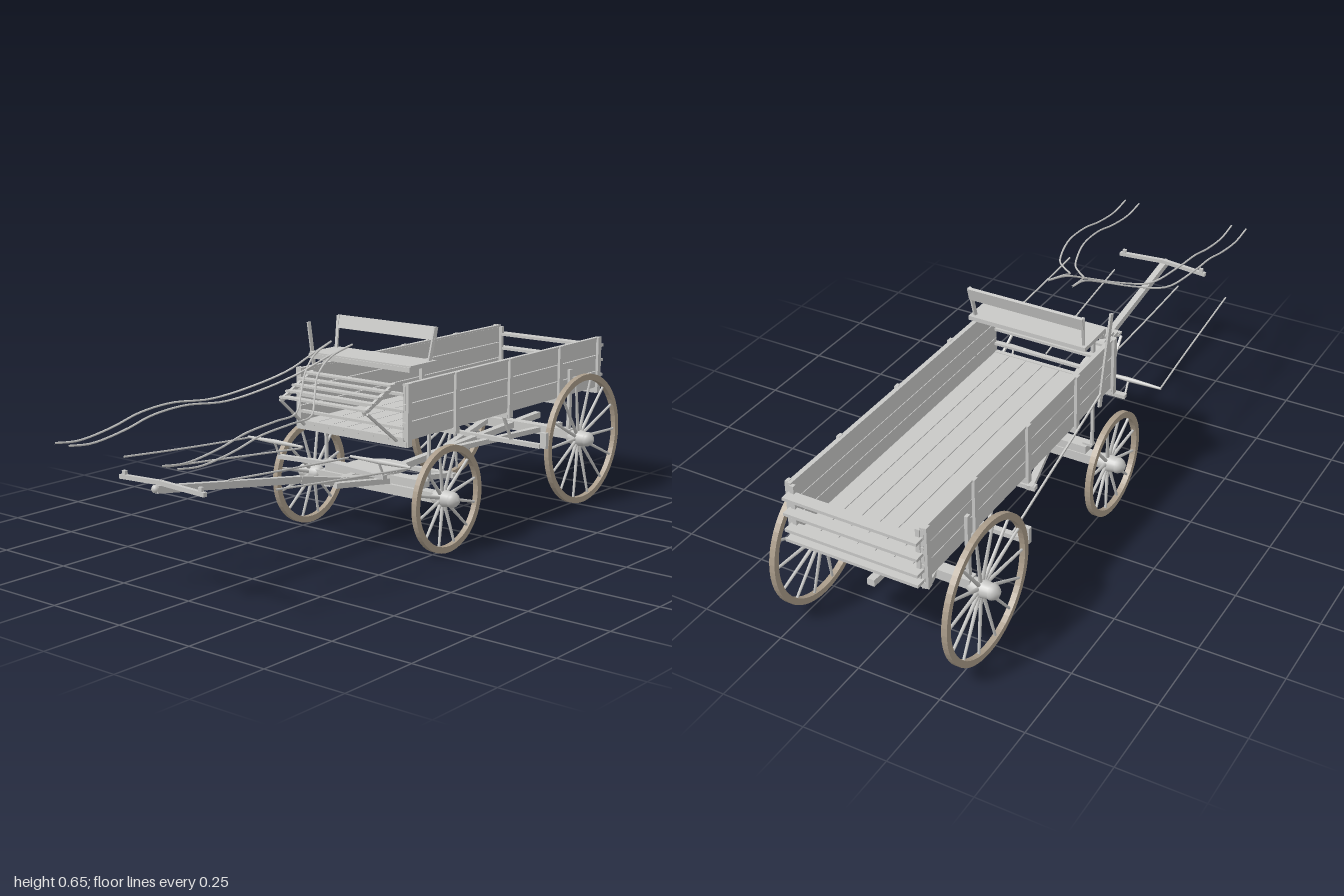
import * as THREE from 'three';

const V = (x, y, z) => new THREE.Vector3(x, y, z);

export function createModel() {
  const root = new THREE.Group();
  root.name = 'farmWagon';
  const wood = new THREE.MeshStandardMaterial({ color: 0xc8c8c6 });
  wood.name = 'pale grey wood';
  const tyre = new THREE.MeshStandardMaterial({ color: 0xaa9c8a });
  tyre.name = 'weathered brown rim';

  const add = (name, geo, mat = wood, parent = root) => {
    const m = new THREE.Mesh(geo, mat);
    m.name = name;
    parent.add(m);
    return m;
  };
  const box = (name, w, h, d, x, y, z) => {
    const m = add(name, new THREE.BoxGeometry(w, h, d));
    m.position.set(x, y, z);
    return m;
  };
  // Straight timber from a to b, w wide and h high
  const beam = (name, a, b, w, h) => {
    const m = add(name, new THREE.BoxGeometry(w, h, a.distanceTo(b)));
    m.position.copy(a).lerp(b, 0.5);
    m.lookAt(b);
    return m;
  };
  const tube = (name, pts, r, n = 40) =>
    add(name, new THREE.TubeGeometry(new THREE.CatmullRomCurve3(pts), n, r, 6, false));
  const lathe = (pts, n) => new THREE.LatheGeometry(pts.map(p => new THREE.Vector2(...p)), n).rotateZ(-Math.PI / 2);
  const sides = [-1, 1];

  // Wheels: square-section rim, dished spokes and a domed hub
  const wheel = (name, R, spokes, side, z) => {
    const g = new THREE.Group();
    g.name = name;
    const r = R - 0.019, h = 0.0085;
    const rim = new THREE.Shape().absarc(0, 0, R, 0, Math.PI * 2);
    rim.holes.push(new THREE.Path().absarc(0, 0, r, 0, Math.PI * 2, true));
    const rimGeo = new THREE.ExtrudeGeometry(rim, { depth: 2 * h, bevelEnabled: false, curveSegments: 28 });
    add('rim', rimGeo.translate(0, 0, -h).rotateY(Math.PI / 2).translate(0.264, 0, 0), tyre, g);
    add('hub', lathe([[0, 0.212], [0.017, 0.212], [0.021, 0.222], [0.024, 0.228], [0.026, 0.255], [0.022, 0.278],
      [0.024, 0.28], [0.023, 0.288], [0.019, 0.295], [0.012, 0.302], [0, 0.306]], 20), wood, g);
    const up = V(0, 1, 0);
    for (let i = 0; i < spokes; i++) {
      const a = (i + 0.5) / spokes * Math.PI * 2, c = Math.cos(a), s = Math.sin(a);
      const p = V(0.25, c * 0.018, s * 0.018), q = V(0.263, c * (r + 0.004), s * (r + 0.004));
      const m = add('spoke', new THREE.CylinderGeometry(0.004, 0.0058, p.distanceTo(q), 7), wood, g);
      m.position.copy(p).lerp(q, 0.5);
      m.quaternion.setFromUnitVectors(up, q.sub(p).normalize());
    }
    g.position.set(0, R, z);
    if (side < 0) g.rotation.y = Math.PI;
    root.add(g);
  };
  for (const s of sides) {
    const n = s < 0 ? 'right' : 'left';
    wheel(n + 'FrontWheel', 0.16, 12, s, -0.05);
    wheel(n + 'RearWheel', 0.21, 14, s, -0.78);
  }

  // Axles, bolsters and slim stakes
  box('frontAxle', 0.45, 0.03, 0.035, 0, 0.16, -0.05);
  box('rearAxle', 0.45, 0.03, 0.035, 0, 0.22, -0.78);
  box('frontBolster', 0.37, 0.025, 0.04, 0, 0.192, -0.05);
  add('turnPlate', new THREE.CylinderGeometry(0.095, 0.095, 0.006, 24)).position.set(0, 0.215, -0.05);
  for (const s of sides) {
    box('frontStake', 0.008, 0.24, 0.01, s * 0.196, 0.33, -0.05);
    box('frontStakeFoot', 0.03, 0.008, 0.02, s * 0.185, 0.207, -0.05);
    box('rearStake', 0.01, 0.2, 0.015, s * 0.212, 0.33, -0.78);
  }

  // Reach pole, hounds and braces
  beam('reachPole', V(0, 0.185, 0), V(0, 0.23, -0.92), 0.022, 0.02);
  for (const s of sides) {
    beam('frontHound', V(s * 0.015, 0.202, 0.16), V(s * 0.115, 0.165, -0.28), 0.02, 0.016);
    beam('rearHound', V(s * 0.015, 0.205, -0.42), V(s * 0.13, 0.225, -0.86), 0.02, 0.016);
  }
  box('houndCrossbar', 0.26, 0.014, 0.02, 0, 0.165, -0.27);

  // Tongue with its neck yoke
  const tonguePts = [V(0, 0.18, -0.06), V(0, 0.205, 0.12), V(0, 0.245, 0.3), V(0, 0.33, 0.86)];
  for (let i = 0; i < 3; i++) beam('tongue', tonguePts[i], tonguePts[i + 1], 0.024 - i * 0.002, 0.024 - i * 0.002);
  const cap = add('tongueTip', new THREE.SphereGeometry(0.011, 12, 8));
  cap.position.set(0, 0.331, 0.86);
  for (const s of sides) {
    beam('neckYoke', V(0, 0.344, 0.84), V(s * 0.155, 0.336, 0.835), 0.013, 0.012);
    box('yokeRing', 0.012, 0.02, 0.01, s * 0.14, 0.344, 0.835);
  }

  // Doubletree, singletrees, links and trace chains
  for (const s of sides) {
    beam('doubletree', V(0, 0.262, 0.15), V(s * 0.2, 0.256, 0.16), 0.018, 0.012);
    beam('link', V(s * 0.197, 0.254, 0.16), V(s * 0.197, 0.304, 0.185), 0.005, 0.005);
    for (const e of sides) {
      const bar = add('singletree', new THREE.CylinderGeometry(0.004, 0.0075, 0.108, 8));
      bar.rotation.z = -e * Math.PI / 2;
      bar.position.set(s * 0.198 + e * 0.054, 0.304, 0.18);
    }
    tube('outerTrace', [V(s * 0.303, 0.302, 0.18), V(s * 0.295, 0.312, 0.32), V(s * 0.287, 0.328, 0.52), V(s * 0.281, 0.345, 0.71)], 0.003, 16);
    tube('innerTrace', [V(s * 0.09, 0.302, 0.19), V(s * 0.098, 0.312, 0.32), V(s * 0.108, 0.328, 0.52), V(s * 0.115, 0.343, 0.71)], 0.003, 16);
  }

  // Wagon bed: floor planks, joists, plank sides and posts
  for (let i = 0; i < 7; i++) box('floorPlank', 0.054, 0.01, 1.04, (i - 3) * 0.0562, 0.346, -0.45);
  for (const z of [0.06, -0.17, -0.45, -0.73, -0.96]) {
    box('joist', 0.41, 0.016, 0.02, 0, 0.333, z);
    for (const s of sides) box('sidePost', 0.01, 0.185, 0.018, s * 0.206, 0.4185, z);
  }
  for (const s of sides) {
    for (let i = 0; i < 3; i++) box('sidePlank', 0.01, 0.051, 1.04, s * 0.197, 0.371 + i * 0.0535, -0.45);
    box('topRail', 0.014, 0.006, 1.04, s * 0.198, 0.507, -0.45);
  }

  // Open end gates of thin level slats
  for (const y of [0.349, 0.38, 0.43, 0.478]) {
    box('tailgateSlat', 0.4, 0.009, 0.036, 0, y, -0.982);
    box('frontGateSlat', 0.39, 0.008, 0.014, 0, y, 0.065);
  }
  for (const s of sides) box('tailgatePost', 0.012, 0.16, 0.012, s * 0.187, 0.425, -0.968);

  // Stepped footboard on sloping bearers
  for (let i = 0; i < 5; i++) box('footboardSlat', 0.325, 0.006, 0.025, 0, 0.502 - i * 0.0138, 0.077 + i * 0.028);
  for (const s of sides) {
    beam('footboardBearer', V(s * 0.154, 0.502, 0.06), V(s * 0.154, 0.439, 0.2), 0.01, 0.012);
    beam('footboardBrace', V(s * 0.163, 0.438, 0.195), V(s * 0.175, 0.342, 0.075), 0.007, 0.007);
  }

  // Driver's seat
  box('seatBoard', 0.38, 0.013, 0.125, 0, 0.548, -0.03);
  box('seatFrontRail', 0.38, 0.014, 0.012, 0, 0.543, 0.03);
  beam('seatBack', V(0, 0.612, -0.09), V(0, 0.651, -0.1), 0.37, 0.01);
  for (const s of sides) {
    beam('seatBackPost', V(s * 0.176, 0.55, -0.075), V(s * 0.183, 0.65, -0.094), 0.008, 0.01);
    box('seatSupport', 0.01, 0.034, 0.012, s * 0.183, 0.525, -0.03);
  }

  // Brake lever, rod, beam and shoes
  beam('brakeLever', V(-0.229, 0.635, -0.01), V(-0.215, 0.34, -0.045), 0.008, 0.01);
  beam('brakeRod', V(-0.217, 0.385, -0.04), V(-0.217, 0.228, -0.56), 0.005, 0.006);
  box('brakeBeam', 0.5, 0.014, 0.018, 0, 0.222, -0.56);
  for (const s of sides) {
    box('brakeShoe', 0.022, 0.05, 0.014, s * 0.262, 0.242, -0.56);
    beam('brakeHanger', V(s * 0.14, 0.335, -0.5), V(s * 0.14, 0.222, -0.56), 0.008, 0.008);
  }

  // Driving reins: an outer and a crossing inner line from each hand
  const drape = [[0.11, 0.612], [0.2, 0.588], [0.28, 0.55], [0.37, 0.508], [0.46, 0.48], [0.58, 0.484],
    [0.7, 0.475], [0.8, 0.452], [0.92, 0.437], [1, 0.445]];
  const outer = [0.04, 0.035, 0.055, 0.12, 0.185, 0.218, 0.222, 0.222, 0.222, 0.222];
  const inner = [-0.04, -0.025, 0.008, 0.07, 0.13, 0.165, 0.172, 0.172, 0.171, 0.17];
  for (const s of sides) {
    tube('outerRein', drape.map(([z, y], i) => V(s * outer[i], y, z)), 0.003);
    tube('crossRein', drape.map(([z, y], i) => V(s * inner[i], y, z)), 0.003);
  }
  return root;
}
